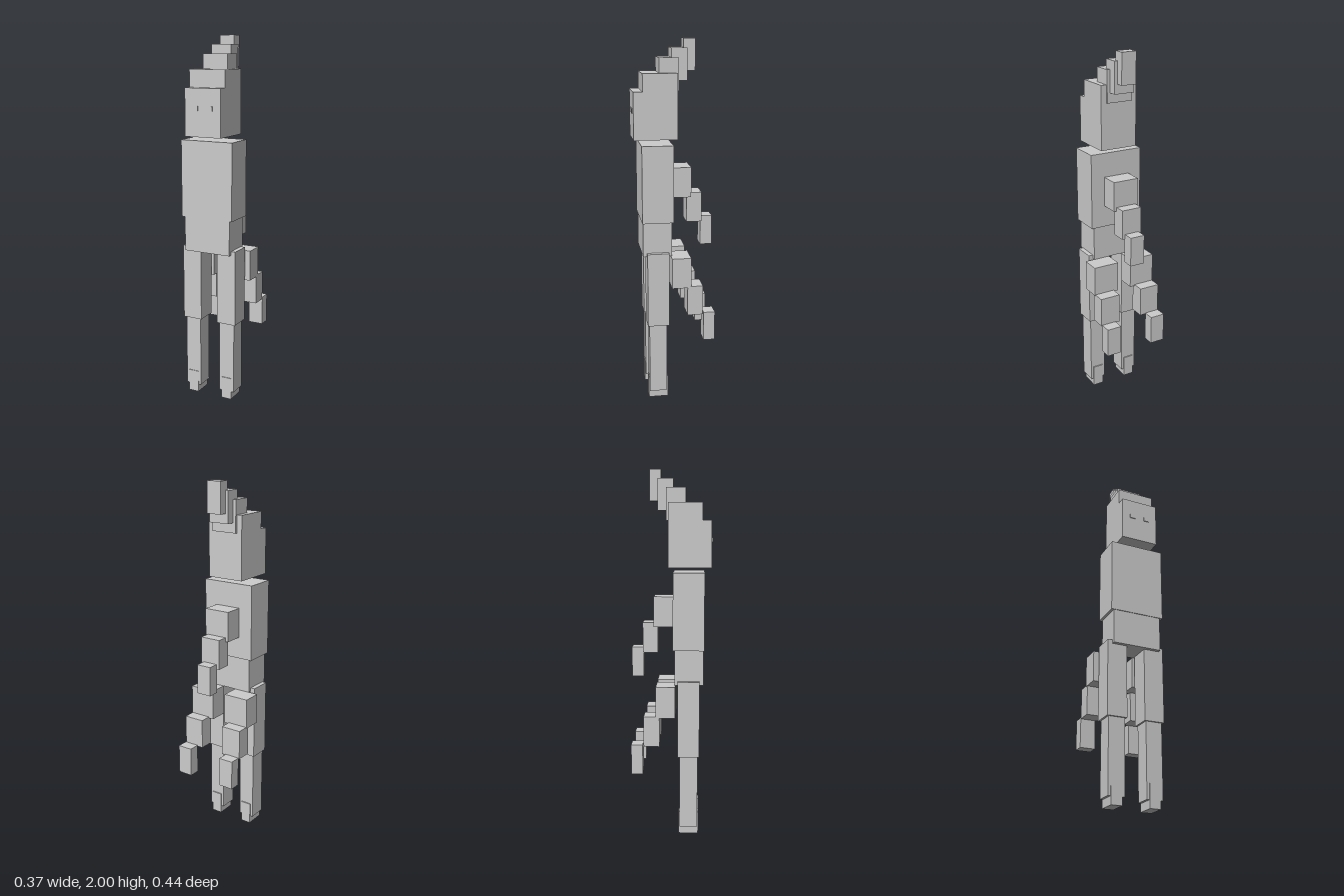
import * as THREE from 'three';

export function createModel() {
  const model = new THREE.Group();
  model.name = 'blockFigure';
  const grey = new THREE.MeshStandardMaterial({ color: 0xcccccc });
  grey.name = 'light grey';

  // Box given by its [min, max] extents on each axis
  function block(name, [x0, x1], [y0, y1], [z0, z1], parent = model) {
    const mesh = new THREE.Mesh(new THREE.BoxGeometry(x1 - x0, y1 - y0, z1 - z0), grey);
    mesh.position.set((x0 + x1) / 2, (y0 + y1) / 2, (z0 + z1) / 2);
    mesh.name = name;
    parent.add(mesh);
  }
  // Box centred on x = 0
  const centred = (name, half, y, z, parent) => block(name, [-half, half], y, z, parent);
  const group = (name) => {
    const g = new THREE.Group();
    g.name = name;
    model.add(g);
    return g;
  };

  // Body
  centred('torso', 0.152, [1.036, 1.455], [0.008, 0.178]);
  centred('hips', 0.136, [0.845, 1.036], [0.016, 0.174]);

  // Head: a lower face in front of a taller skull
  const head = group('head');
  centred('face', 0.105, [1.479, 1.732], [0.166, 0.215], head);
  centred('skull', 0.105, [1.479, 1.825], [-0.02, 0.166], head);

  // Crest stepping up and backwards
  const crest = group('crest');
  centred('crestStep1', 0.074, [1.73, 1.903], [-0.03, 0.076], crest);
  centred('crestStep2', 0.058, [1.783, 1.952], [-0.077, 0.008], crest);
  centred('crestTip', 0.042, [1.834, 2.0], [-0.121, -0.059], crest);

  // Central tail, stepping down and backwards
  const tail = group('centreTail');
  centred('tailRoot', 0.074, [1.157, 1.322], [-0.099, 0.006], tail);
  centred('tailMiddle', 0.058, [1.014, 1.179], [-0.16, -0.076], tail);
  centred('tailTip', 0.042, [0.877, 1.041], [-0.221, -0.156], tail);

  // Paired parts: eyes, legs and side tails
  for (const [side, s] of [['left', 1], ['right', -1]]) {
    const half = group(side + 'Parts');
    const paired = (name, [a, b], y, z) =>
      block(side + name, s > 0 ? [a, b] : [-b, -a], y, z, half);
    paired('Eye', [0.027, 0.058], [1.615, 1.64], [0.214, 0.22]);
    paired('Thigh', [0.05, 0.161], [0.447, 0.866], [0.034, 0.153]);
    paired('Shin', [0.06, 0.15], [0.044, 0.447], [0.046, 0.144]);
    paired('Foot', [0.075, 0.135], [0, 0.125], [0.04, 0.148]);
    paired('TailRoot', [0.04, 0.187], [0.673, 0.843], [-0.083, 0.022]);
    paired('TailMiddle', [0.069, 0.185], [0.513, 0.68], [-0.149, -0.064]);
    paired('TailTip', [0.099, 0.183], [0.357, 0.522], [-0.218, -0.155]);
  }
  return model;
}
